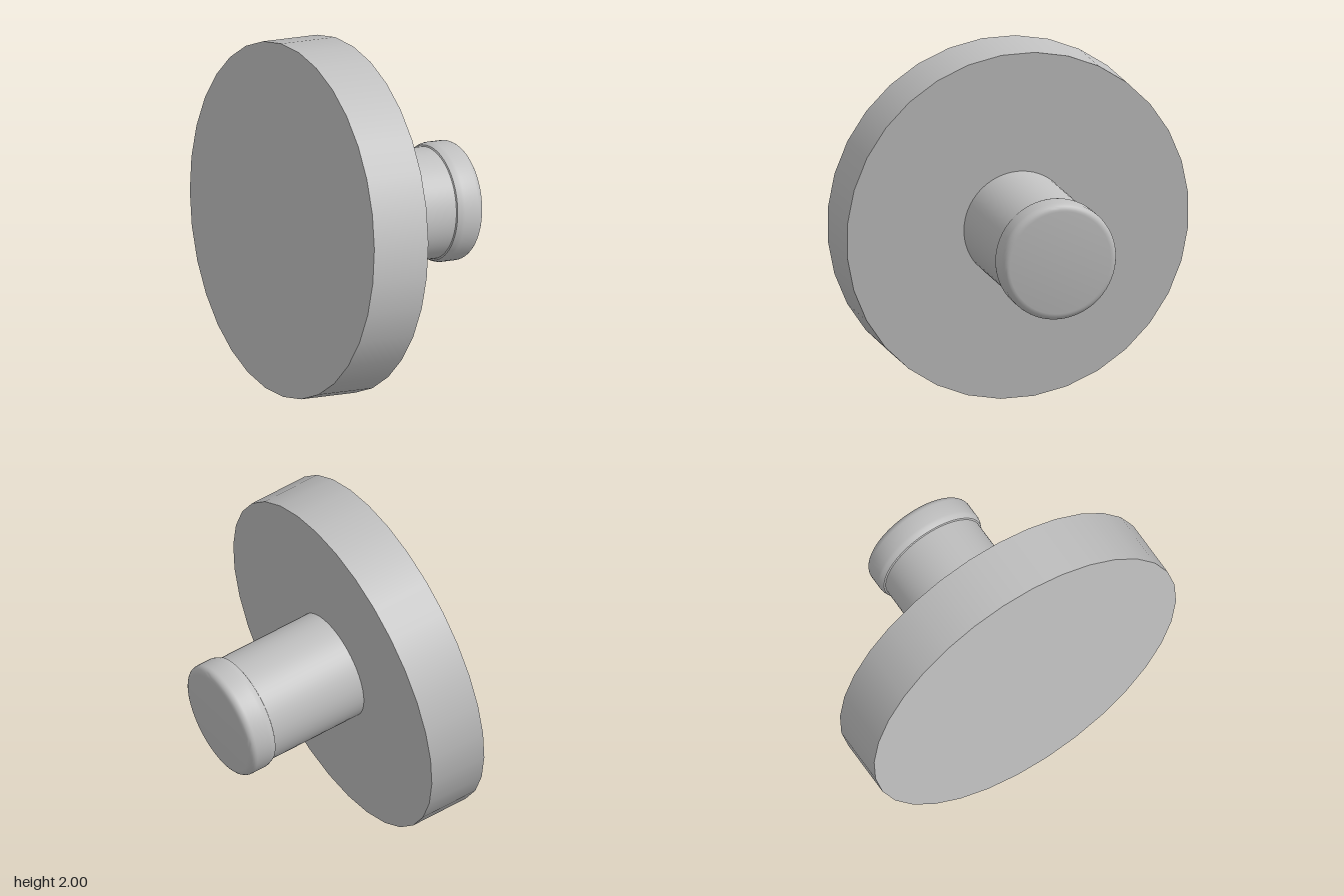
import * as THREE from 'three';
import { toCreasedNormals } from 'three/addons/utils/BufferGeometryUtils.js';

export function createModel() {
  const group = new THREE.Group();
  const grey = new THREE.MeshStandardMaterial({ color: 0xc0c0c0 });
  grey.name = 'plain grey';

  // Everything is turned around one tilted axis, built along local y
  const axis = new THREE.Vector3(0.35, -0.05, 0.05).normalize();
  const knob = new THREE.Group();
  knob.name = 'knob';
  knob.position.set(-0.305, 1, 0);
  knob.quaternion.setFromUnitVectors(new THREE.Vector3(0, 1, 0), axis);
  group.add(knob);

  const add = (name, geometry) => {
    const mesh = new THREE.Mesh(geometry, grey);
    mesh.name = name;
    knob.add(mesh);
  };

  // Wide flat disc
  const half = 0.172;
  add('disc', new THREE.CylinderGeometry(0.985, 0.985, half * 2, 32));

  // Round stem, standing on the disc
  const stem = new THREE.CylinderGeometry(0.31, 0.31, 0.61, 64, 1, true);
  stem.translate(0, half + 0.305, 0);
  add('stem', stem);

  // Slightly wider end cap with a bevelled collar and a rounded rim
  const radius = 0.331, end = 0.922, fillet = 0.04;
  const profile = [[0.308, 0.752], [0.318, 0.757], [0.328, 0.78], [radius, 0.795]];
  for (let i = 0; i <= 6; i++) {
    const a = (i / 6) * Math.PI / 2;
    profile.push([radius - fillet + fillet * Math.cos(a), end - fillet + fillet * Math.sin(a)]);
  }
  profile.push([0, end]);
  const cap = new THREE.LatheGeometry(profile.map(([r, y]) => new THREE.Vector2(r, y)), 64);
  add('endCap', toCreasedNormals(cap, 0.6));

  return group;
}
